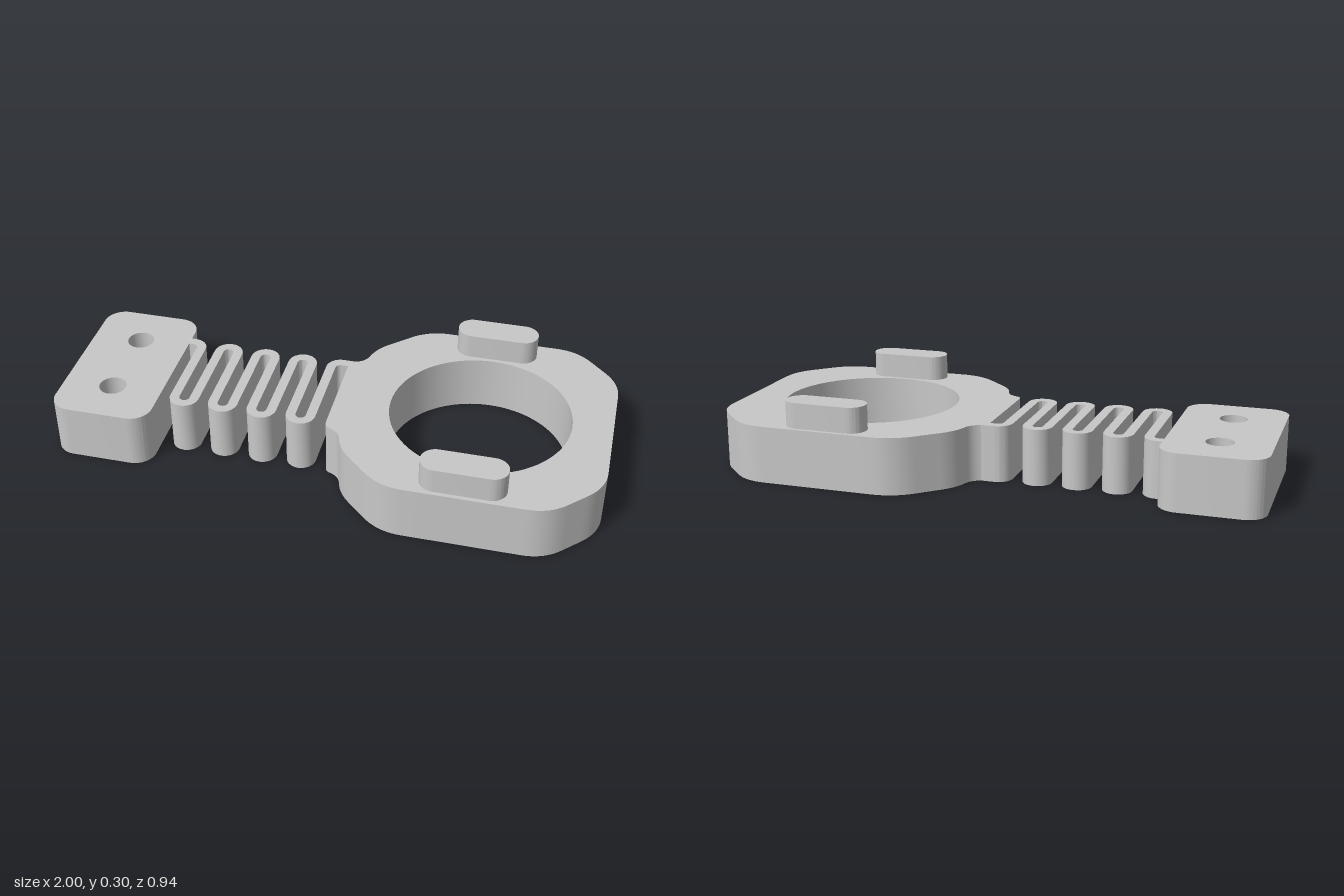
import * as THREE from 'three';
import { toCreasedNormals } from 'three/addons/utils/BufferGeometryUtils.js';

const H = 0.207; // thickness of the flat body
const PAD_TOP = 0.3;

// Extrude an (x, z) plan shape between two heights
function slab(shape, y0, y1, steps = 1) {
  const geo = new THREE.ExtrudeGeometry(shape, { depth: y1 - y0, steps, bevelEnabled: false, curveSegments: 16 });
  return geo.rotateX(Math.PI / 2).translate(0, y1, 0);
}

// Clockwise circle for use as a hole in a counter-clockwise outline
function circle(x, z, r) {
  return new THREE.Path().absarc(x, z, r, 0, Math.PI * 2, true);
}

function roundedRect(x0, x1, z0, z1, r) {
  const s = new THREE.Shape();
  s.absarc(x1 - r, z1 - r, r, 0, Math.PI / 2);
  s.absarc(x0 + r, z1 - r, r, Math.PI / 2, Math.PI);
  s.absarc(x0 + r, z0 + r, r, Math.PI, Math.PI * 1.5);
  s.absarc(x1 - r, z0 + r, r, Math.PI * 1.5, Math.PI * 2);
  s.closePath();
  return s;
}

// Mounting tab: two bores that widen to a countersink underneath
function tabGeometry() {
  const cx = -0.815, cz = 0.15, wide = 0.1, narrow = 0.05, depth = 0.055;
  const shape = roundedRect(-1, -0.628, -0.324, 0.324, 0.075);
  shape.holes.push(circle(cx, cz, wide), circle(cx, -cz, wide));
  const geo = slab(shape, 0, H, 2);
  const p = geo.attributes.position;
  for (let i = 0; i < p.count; i++) {
    const x = p.getX(i), y = p.getY(i), z = p.getZ(i);
    if (y < 0.01) continue;
    if (y < H - 0.01) p.setY(i, depth);
    const c = Math.sign(z) * cz;
    if (Math.hypot(x - cx, z - c) < wide + 0.002) {
      const k = narrow / wide;
      p.setX(i, cx + (x - cx) * k);
      p.setZ(i, c + (z - c) * k);
    }
  }
  return geo;
}

// Ring plate: chamfered, rounded outline with a large round opening
function ringGeometry() {
  // one half of the outline; each entry is a curve's control point and end
  const half = [
    [0, 0.2, 0.018, 0.205], [0.058, 0.217, 0.068, 0.257],
    [0.082, 0.312, 0.135, 0.357], [0.165, 0.385, 0.188, 0.407],
    [0.25, 0.469, 0.335, 0.469], [0.545, 0.469, 0.75, 0.469],
    [0.828, 0.469, 0.882, 0.415], [0.91, 0.387, 0.943, 0.354],
    [1, 0.297, 1, 0.22],
  ];
  const path = new THREE.Path();
  path.moveTo(0, 0.165);
  half.forEach((q) => path.quadraticCurveTo(...q));
  const pts = path.getPoints(8);
  const mirrored = pts.map((p) => new THREE.Vector2(p.x, -p.y));
  const shape = new THREE.Shape([...mirrored, ...pts.reverse()]);
  shape.holes.push(new THREE.Path(circle(0.528, 0, 0.328).getPoints(40)));
  return slab(shape, 0, H);
}

// Serpentine spring: a constant-width ribbon following a zigzag centre line
function springGeometry() {
  const pitch = 0.073, r = pitch / 2, w = 0.0175, zc = 0.153, x0 = -0.573, strands = 8;
  const pts = [], normals = [];
  const add = (x, z, nx, nz) => {
    pts.push(new THREE.Vector2(x, z));
    normals.push(new THREE.Vector2(nx, nz));
  };
  // arc from angle a to b; the normal always points to the same side of the path
  const arc = (cx, cz, a, b) => {
    const side = b > a ? 1 : -1;
    for (let i = 0; i <= 12; i++) {
      const t = a + ((b - a) * i) / 12, c = Math.cos(t), s = Math.sin(t);
      add(cx + r * c, cz + r * s, side * c, side * s);
    }
  };
  const P = Math.PI;
  add(-0.64, -zc - r, 0, -1);
  arc(x0 - r, -zc, -P / 2, 0);
  for (let i = 0; i < strands - 1; i++) {
    const cx = x0 + pitch * i + r;
    if (i % 2 === 0) arc(cx, zc, P, 0);
    else arc(cx, -zc, -P, 0);
  }
  arc(x0 + pitch * (strands - 1) + r, -zc, -P, -P / 2);
  add(0.025, -zc - r, 0, -1);
  const offset = (d) => pts.map((p, i) => p.clone().addScaledVector(normals[i], d));
  return slab(new THREE.Shape([...offset(w), ...offset(-w).reverse()]), 0, H);
}

export function createModel() {
  const group = new THREE.Group();
  const grey = new THREE.MeshStandardMaterial({ color: 0xc8c8c8 });
  grey.name = 'lightGrey';

  const add = (name, geo) => {
    const mesh = new THREE.Mesh(toCreasedNormals(geo, 0.6), grey);
    mesh.name = name;
    group.add(mesh);
  };

  add('mountingTab', tabGeometry());
  add('serpentineSpring', springGeometry());
  add('ringPlate', ringGeometry());

  // Raised pads on either side of the opening
  for (const [name, z] of [['frontPad', 0.398], ['backPad', -0.398]]) {
    add(name, slab(roundedRect(0.379, 0.681, z - 0.056, z + 0.056, 0.0555), H, PAD_TOP));
  }
  return group;
}
